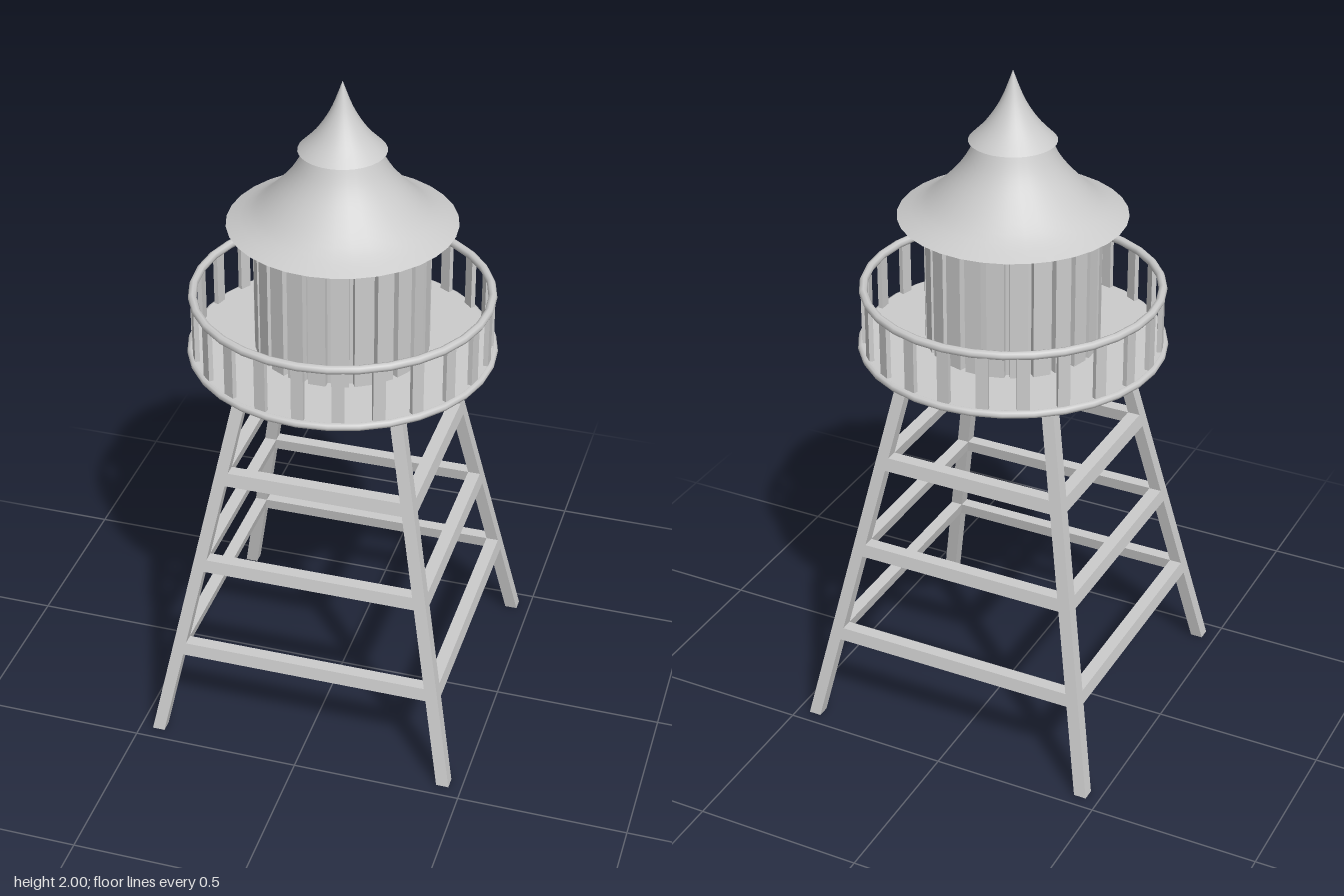
import * as THREE from 'three';

const material = new THREE.MeshStandardMaterial({ color: 0xcccccc });
const roofMaterial = new THREE.MeshStandardMaterial({ color: 0xcccccc, side: THREE.DoubleSide });

const DECK_BOTTOM = 1.165, DECK_TOP = 1.186;
const LEG_WIDTH = 0.037;
// Outer edge of the leg frame at height y
const outer = (y) => 0.462 - 0.195 * y;

function add(parent, name, geometry, mat = material) {
  const mesh = new THREE.Mesh(geometry, mat);
  mesh.name = name;
  parent.add(mesh);
  return mesh;
}

// Box whose vertices are mapped by a rule from unit coordinates (-0.5..0.5)
function shapedBox(rule) {
  const geometry = new THREE.BoxGeometry(1, 1, 1);
  const p = geometry.attributes.position;
  for (let i = 0; i < p.count; i++) p.setXYZ(i, ...rule(p.getX(i), p.getY(i), p.getZ(i)));
  geometry.computeVertexNormals();
  return geometry;
}

// Parts repeated around the axis, each facing outward
function ringOf(parent, name, count, radius, y, geometry) {
  const ring = new THREE.Group();
  ring.name = name + 's';
  for (let i = 0; i < count; i++) {
    const a = (i / count) * Math.PI * 2;
    const mesh = add(ring, name, geometry);
    mesh.position.set(Math.sin(a) * radius, y, Math.cos(a) * radius);
    mesh.rotation.y = a;
  }
  parent.add(ring);
}

function hoop(parent, name, radius, tube, y) {
  const mesh = add(parent, name, new THREE.TorusGeometry(radius, tube, 8, 32));
  mesh.rotation.x = Math.PI / 2;
  mesh.position.y = y;
}

// Flared roof: concave smooth shell with a flat underside
function flaredRoof(parent, name, points) {
  const curve = new THREE.SplineCurve(points.map(([r, y]) => new THREE.Vector2(r, y)));
  const profile = curve.getPoints(14);
  profile.forEach((v) => { v.x = Math.max(v.x, 0); });
  add(parent, name, new THREE.LatheGeometry(profile, 32), roofMaterial);
  const soffit = add(parent, name + 'Underside', new THREE.CircleGeometry(points[0][0], 32));
  soffit.rotation.set(Math.PI / 2, 0, 0);
  soffit.position.y = points[0][1];
}

export function createModel() {
  const model = new THREE.Group();
  model.name = 'watchtower';

  // Splayed legs and the cross beams, one of each set per side
  const legGeometry = shapedBox((x, y, z) => {
    const h = (y + 0.5) * DECK_BOTTOM;
    const c = outer(h) - LEG_WIDTH / 2;
    return [c + x * LEG_WIDTH, h, c + z * LEG_WIDTH];
  });
  const beams = [[0.265, 0.303], [0.545, 0.583], [0.825, 0.865], [1.125, DECK_BOTTOM]];
  const beamGeometries = beams.map(([low, high]) => shapedBox((x, y, z) => {
    const h = y < 0 ? low : high;
    const inner = outer(h) - LEG_WIDTH;
    return [x * 2 * inner, h, inner + (z + 0.5) * LEG_WIDTH];
  }));
  for (let i = 0; i < 4; i++) {
    const side = new THREE.Group();
    side.name = 'frameSide';
    side.rotation.y = (i * Math.PI) / 2;
    add(side, 'leg', legGeometry);
    beamGeometries.forEach((g) => add(side, 'crossBeam', g));
    model.add(side);
  }

  // Round deck with a rounded rim
  const deck = add(model, 'deck', new THREE.CylinderGeometry(0.435, 0.435, DECK_TOP - DECK_BOTTOM, 32));
  deck.position.y = (DECK_TOP + DECK_BOTTOM) / 2;
  hoop(model, 'deckRim', 0.434, 0.0115, (DECK_TOP + DECK_BOTTOM) / 2);

  // Railing
  hoop(model, 'handrail', 0.425, 0.0125, 1.352);
  ringOf(model, 'baluster', 24, 0.425, 1.265, new THREE.BoxGeometry(0.035, 0.165, 0.014));

  // Cabin: inner wall with vertical planks
  const wallHeight = 1.58 - DECK_TOP;
  const wallY = DECK_TOP + wallHeight / 2;
  const wall = add(model, 'cabinWall', new THREE.CylinderGeometry(0.232, 0.232, wallHeight, 32));
  wall.position.y = wallY;
  ringOf(model, 'plank', 24, 0.24, wallY, new THREE.BoxGeometry(0.05, wallHeight, 0.02));

  // Two-tier flared roof
  flaredRoof(model, 'lowerRoof', [[0.325, 1.575], [0.25, 1.613], [0.175, 1.685], [0.13, 1.745], [0.1, 1.81]]);
  flaredRoof(model, 'upperRoof', [[0.124, 1.796], [0.075, 1.848], [0.033, 1.915], [0, 2]]);

  return model;
}
